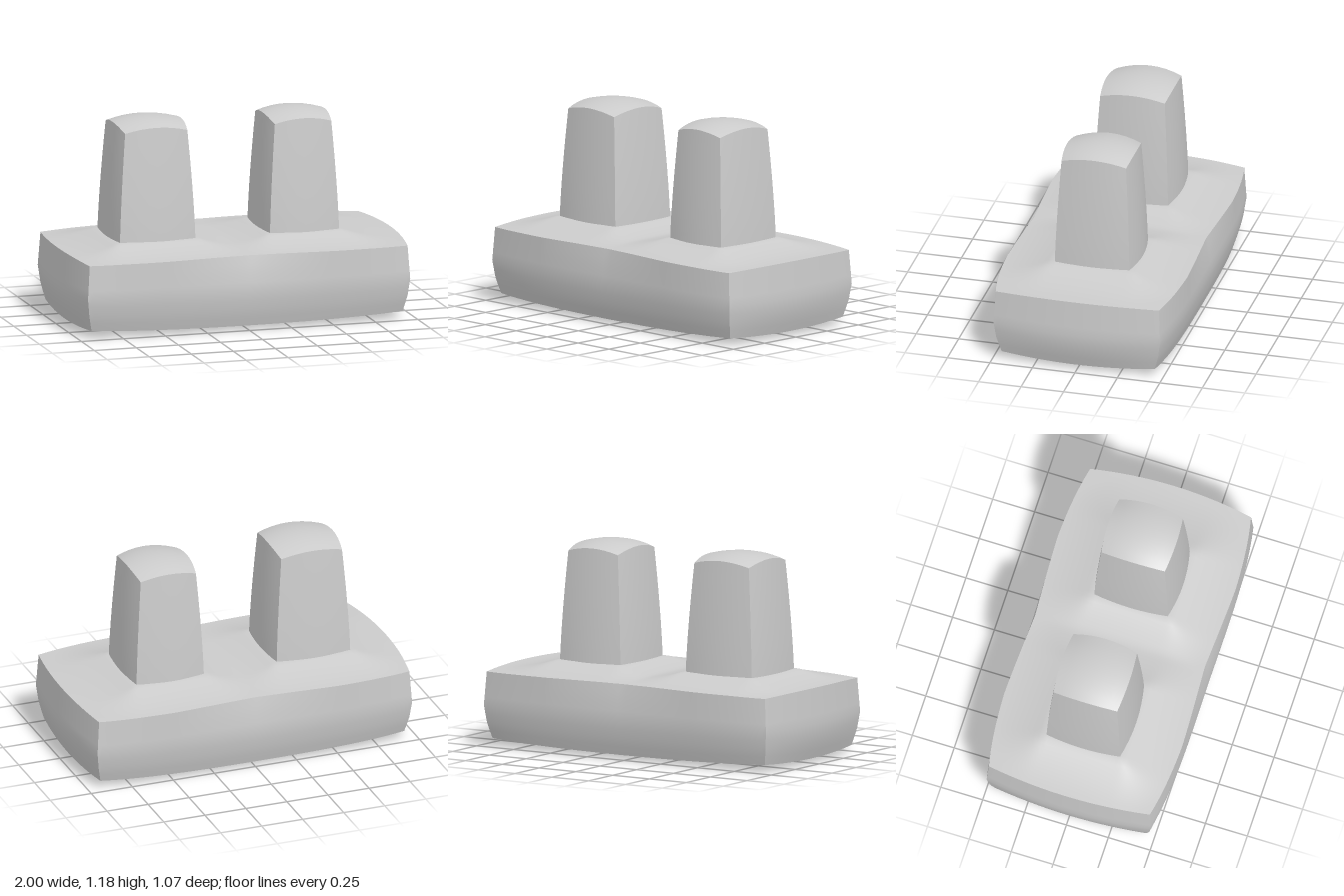
import * as THREE from 'three';

const lerp = THREE.MathUtils.lerp;
const material = new THREE.MeshStandardMaterial({ color: 0xcccccc });

// centre x and half width at the foot and at the top of each peg
const PEGS = [
  { name: 'rightPeg', x: -0.461, foot: 0.225, top: 0.185 },
  { name: 'leftPeg', x: 0.412, foot: 0.206, top: 0.168 },
];
const PEG_BASE = 0.495;

// Piecewise linear lookup over [t, value] pairs
function sample(points, t) {
  for (let i = 1; i < points.length; i++) {
    const [a, va] = points[i - 1], [b, vb] = points[i];
    if (t <= b) return lerp(va, vb, (t - a) / (b - a));
  }
  return points[points.length - 1][1];
}

// Box whose vertices (u, t, w), u and w in -1..1 and t in 0..1, go through a rule;
// faces stay smooth inside and sharp along the box edges
function shapedBox(name, nx, ny, nz, rule) {
  const geometry = new THREE.BoxGeometry(2, 2, 2, nx, ny, nz);
  const pos = geometry.attributes.position;
  for (let i = 0; i < pos.count; i++) {
    const [x, y, z] = rule(pos.getX(i), (pos.getY(i) + 1) / 2, pos.getZ(i));
    pos.setXYZ(i, x, y, z);
  }
  geometry.computeVertexNormals();
  const mesh = new THREE.Mesh(geometry, material);
  mesh.name = name;
  return mesh;
}

// Swollen base block, its top rising to the foot of each peg
const BASE_X = [[0, 0.925], [0.22, 0.945], [0.5, 0.958], [1, 0.945]];
const BASE_Z = [[0, 0.45], [0.22, 0.475], [0.5, 0.49], [1, 0.48]];

function baseRule(u, t, w) {
  const u2 = u * u, w2 = w * w;
  const x = u * (sample(BASE_X, t) + lerp(0.025, 0.043, Math.min(1, t * 3)) * (1 - w2));
  const waist = 0.028 * t ** 3 * Math.max(0, 1 - Math.abs(x) / 0.5);
  const z = w * (sample(BASE_Z, t) + lerp(0.04, 0.055, t) * (1 - u2 * u2) - waist);

  const bottom = 0.028 * (u2 + w2) - 0.011 * u2 * w2;
  let top = 0.43 + 0.01 * (1 - u2) + 0.01 * (1 - w2);
  let rise = 0;
  for (const p of PEGS) {
    const dx = Math.max(0, Math.abs(x - p.x) - p.foot - 0.015);
    const dz = Math.max(0, Math.abs(z) - 0.24);
    rise = Math.max(rise, Math.max(0, 1 - Math.hypot(dx, dz) / 0.31) ** 2);
  }
  top = lerp(top, PEG_BASE, rise);
  return [x, lerp(bottom, top, t), z];
}

// Tapered peg with bulging sides and a domed top
function pegRule(peg) {
  return (u, t, w) => {
    const u2 = u * u, w2 = w * w, s = t ** 1.4;
    const hx = lerp(peg.foot, peg.top, s) + 0.017 * (1 - w2);
    const hz = lerp(0.22, 0.19, s) + lerp(0.026, 0.013, t) * (1 - u2);
    const top = 1.12 + 0.027 * (1 - u2) + 0.033 * (1 - w2);
    return [peg.x + u * hx, lerp(PEG_BASE - 0.04, top, t), w * hz];
  };
}

export function createModel() {
  const model = new THREE.Group();
  model.name = 'twoPegBlock';
  model.add(shapedBox('base', 72, 8, 40, baseRule));
  for (const peg of PEGS) model.add(shapedBox(peg.name, 8, 8, 8, pegRule(peg)));
  return model;
}
